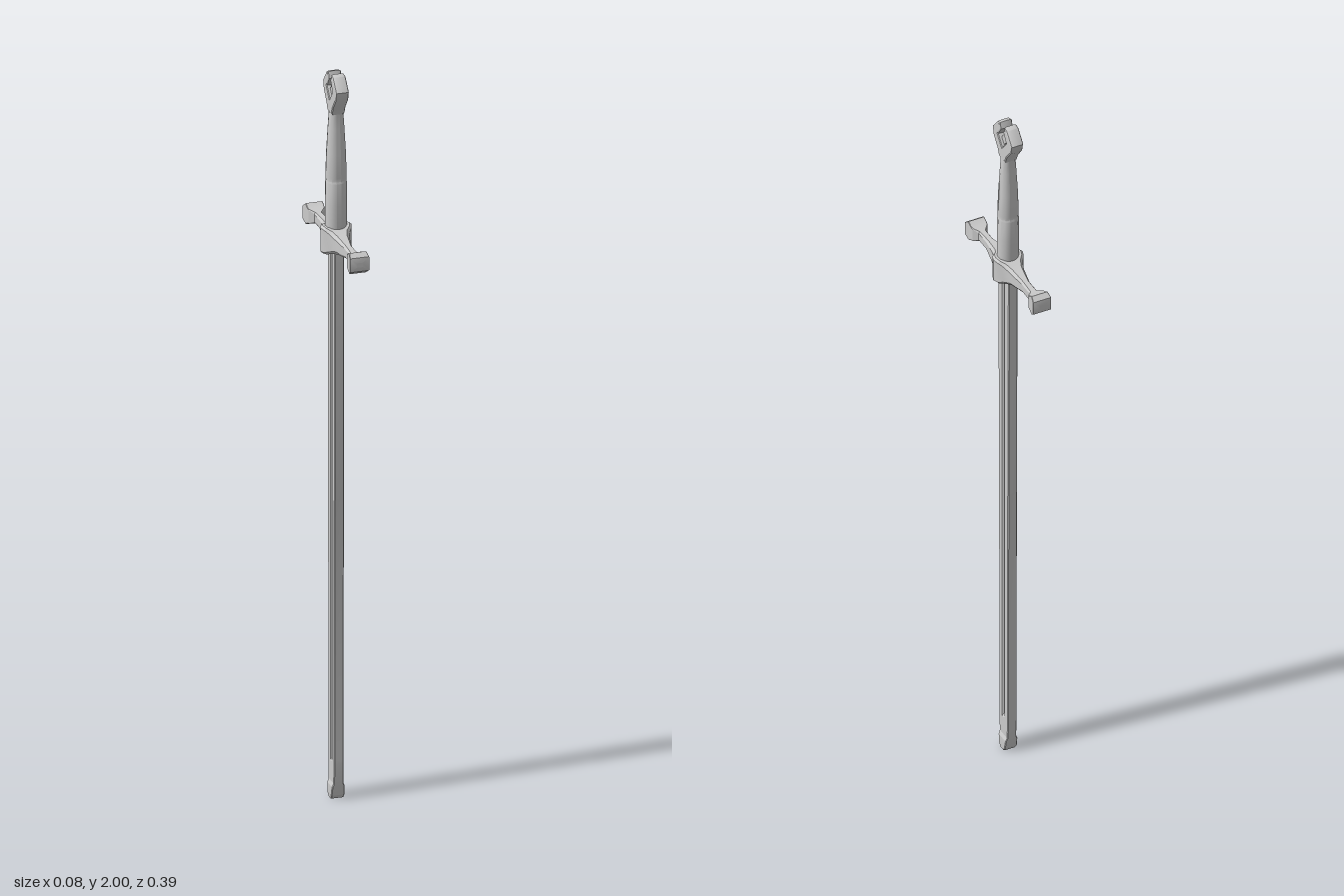
import * as THREE from 'three';
import { toCreasedNormals } from 'three/addons/utils/BufferGeometryUtils.js';

const material = new THREE.MeshStandardMaterial({ color: 0xcccccc });

function addMesh(parent, name, geometry, crease = 0.5) {
  const mesh = new THREE.Mesh(toCreasedNormals(geometry, crease), material);
  mesh.name = name;
  parent.add(mesh);
  return mesh;
}

// Skin a stack of [x, z] rings set at rising heights, closing both ends
function loft(rings) {
  const n = rings[0].points.length;
  const pos = [], index = [];
  rings.forEach(r => r.points.forEach(([x, z]) => pos.push(x, r.y, z)));
  for (let k = 0; k < rings.length - 1; k++) {
    for (let i = 0; i < n; i++) {
      const a = k * n + i, b = k * n + (i + 1) % n;
      index.push(a, a + n, b, b, a + n, b + n);
    }
  }
  const last = rings.length - 1;
  pos.push(0, rings[0].y, 0, 0, rings[last].y, 0);
  const c0 = rings.length * n, c1 = c0 + 1;
  for (let i = 0; i < n; i++) {
    const j = (i + 1) % n;
    index.push(c0, i, j, c1, last * n + j, last * n + i);
  }
  const geometry = new THREE.BufferGeometry();
  geometry.setAttribute('position', new THREE.Float32BufferAttribute(pos, 3));
  geometry.setIndex(index);
  return geometry;
}

const ellipse = (rx, rz, n) => Array.from({ length: n }, (_, i) => {
  const a = (i / n) * Math.PI * 2;
  return [Math.cos(a) * rx, Math.sin(a) * rz];
});

// Rectangle with cut corners
const chamfered = (x, z, keep) => {
  const a = x * keep, b = z * keep;
  return [[x, -b], [x, b], [a, z], [-a, z], [-x, b], [-x, -b], [-a, -z], [a, -z]];
};

// Blade section: a flat bar with a narrow central groove on each face
const bladeSection = (w, t, groove) => {
  const half = [
    [t - groove, -0.003], [t - groove, 0.003], [t, 0.007], [t, w - 0.002], [t - 0.002, w],
    [-t + 0.002, w], [-t, w - 0.002], [-t, 0.007]
  ];
  return [...half, ...half.map(([x, z]) => [-x, -z])];
};

export function createModel() {
  const sword = new THREE.Group();
  sword.name = 'sword';

  // Blade: height, half width, half thickness, groove depth
  const bladeRows = [
    [0, 0.01, 0.017, 0], [0.01, 0.016, 0.018, 0], [0.035, 0.021, 0.017, 0],
    [0.045, 0.022, 0.013, 0], [0.1, 0.025, 0.013, 0], [0.112, 0.025, 0.013, 0.006],
    [0.825, 0.026, 0.013, 0.006], [0.833, 0.028, 0.013, 0.006], [1.53, 0.029, 0.013, 0.006]
  ];
  addMesh(sword, 'blade', loft(bladeRows.map(([y, w, t, g]) =>
    ({ y, points: bladeSection(w, t, g) }))), 0.3);

  // Crossguard: distance along the arm, half thickness, half height, uncut share of each side
  const arm = [
    [0, 0.042, 0.038, 0.85], [0.016, 0.037, 0.036, 0.85], [0.03, 0.027, 0.031, 0.75],
    [0.05, 0.02, 0.025, 0.65], [0.1, 0.011, 0.017, 0.6], [0.143, 0.011, 0.015, 0.7],
    [0.157, 0.022, 0.02, 0.92], [0.165, 0.023, 0.022, 0.95], [0.178, 0.023, 0.029, 0.95],
    [0.192, 0.026, 0.019, 0.95], [0.196, 0.008, 0.006, 0.95]
  ];
  const mirrored = [...arm.slice(1).reverse().map(([d, ...rest]) => [-d, ...rest]), ...arm];
  const guard = loft(mirrored.map(([y, x, h, keep]) => ({ y, points: chamfered(x, h, keep) })));
  guard.rotateX(Math.PI / 2);
  addMesh(sword, 'crossguard', guard, 0.4).position.y = 1.543;

  // Grip: height, half thickness, half width, with a shallow band line
  const gripRows = [
    [1.56, 0.029, 0.026], [1.64, 0.029, 0.027], [1.7, 0.028, 0.026], [1.705, 0.027, 0.024],
    [1.715, 0.028, 0.025], [1.78, 0.026, 0.023], [1.85, 0.022, 0.019],
    [1.89, 0.019, 0.018], [1.915, 0.017, 0.022]
  ];
  addMesh(sword, 'grip', loft(gripRows.map(([y, rx, rz]) =>
    ({ y, points: ellipse(rx, rz, 14) }))), 0.5);

  // Pommel: two curled prongs around an open diamond
  const outer = [[0.018, 1.89], [0.026, 1.91], [0.048, 1.938], [0.054, 1.963], [0.026, 1.996], [0.012, 2]];
  const inner = [[0.006, 1.982], [0.022, 1.957], [0, 1.93]];
  const right = [...outer, ...inner];
  const left = right.slice(0, -1).reverse().map(([z, y]) => [-z, y]);
  const shape = new THREE.Shape([...right, ...left].map(p => new THREE.Vector2(...p)));
  const pommel = new THREE.ExtrudeGeometry(shape, {
    depth: 0.022, bevelEnabled: true, bevelThickness: 0.007,
    bevelSize: 0.004, bevelOffset: -0.004, bevelSegments: 2
  });
  pommel.translate(0, 0, -0.011);
  pommel.rotateY(Math.PI / 2);
  addMesh(sword, 'pommel', pommel, 0.6);

  // Small diamond stud standing in the pommel opening
  const stud = new THREE.CylinderGeometry(0.014, 0.014, 0.022, 4);
  stud.rotateZ(Math.PI / 2);
  stud.scale(1, 1.2, 1);
  addMesh(sword, 'pommelStud', stud, 0.3).position.y = 1.952;
  const stem = new THREE.BoxGeometry(0.018, 0.03, 0.008);
  addMesh(sword, 'studStem', stem, 0.3).position.y = 1.93;

  return sword;
}
